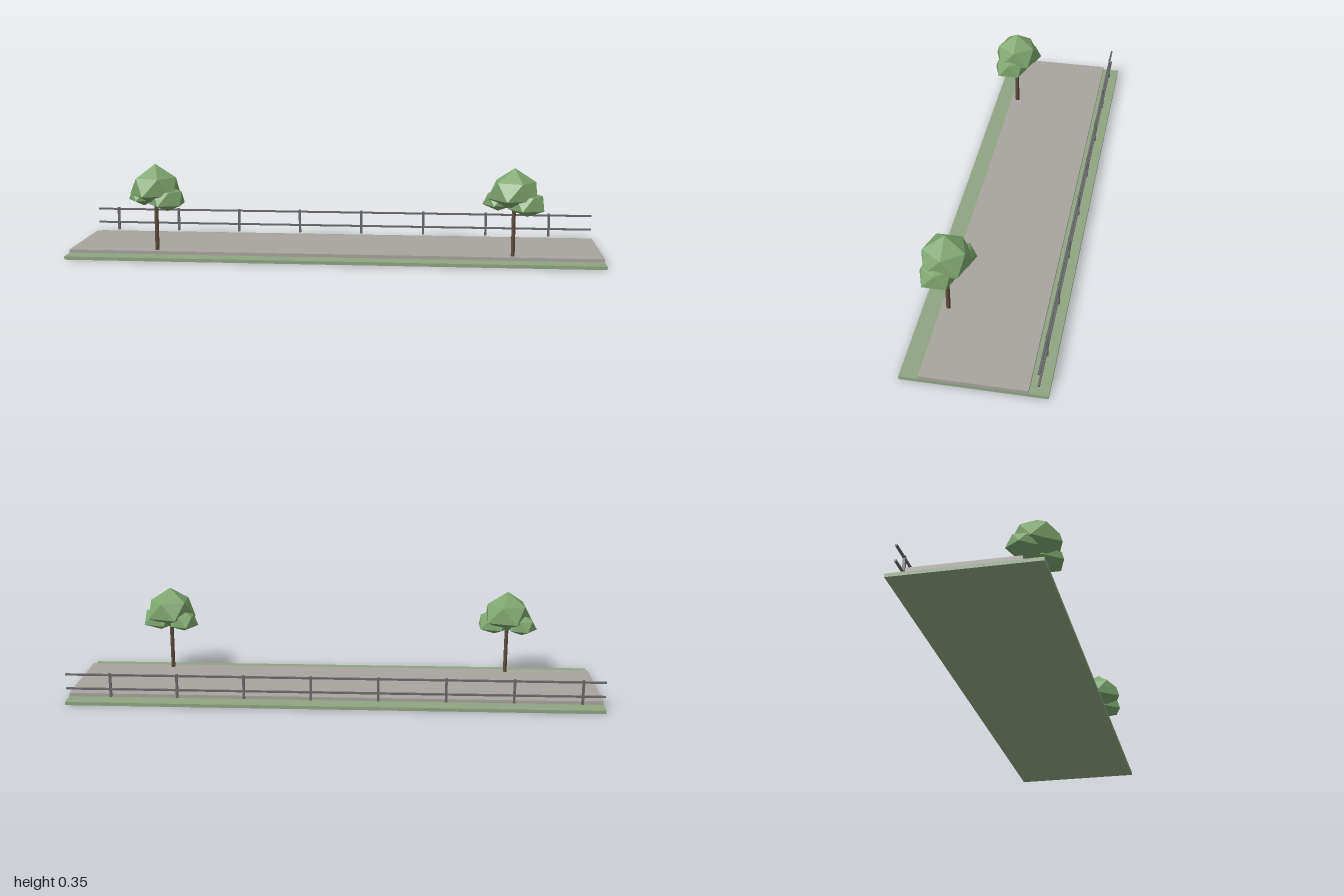
import * as THREE from 'three';
import { ConvexGeometry } from 'three/addons/geometries/ConvexGeometry.js';

const mat = (color) => new THREE.MeshStandardMaterial({ color, flatShading: true });

function add(parent, name, geometry, material, x, y, z) {
  const mesh = new THREE.Mesh(geometry, material);
  mesh.name = name;
  mesh.position.set(x, y, z);
  parent.add(mesh);
  return mesh;
}

// Faceted leaf clump: top point, two staggered rings of five, bottom point.
// Its origin is the top point; drops are the depths of the rings and bottom.
function clumpGeometry(upperRadius, lowerRadius, drops) {
  const points = [new THREE.Vector3(0, 0, 0), new THREE.Vector3(0, -drops[2], 0)];
  for (let i = 0; i < 5; i++) {
    const a = (i * Math.PI * 2) / 5;
    const b = a + Math.PI / 5;
    points.push(new THREE.Vector3(Math.cos(a) * upperRadius, -drops[0], Math.sin(a) * upperRadius));
    points.push(new THREE.Vector3(Math.cos(b) * lowerRadius, -drops[1], Math.sin(b) * lowerRadius));
  }
  return new ConvexGeometry(points);
}

function createTree(bark, leaves) {
  const tree = new THREE.Group();
  tree.name = 'tree';
  add(tree, 'trunk', new THREE.CylinderGeometry(0.008, 0.008, 0.175, 6), bark, 0, 0.1125, 0);
  add(tree, 'mainFoliage', clumpGeometry(0.078, 0.098, [0.05, 0.113, 0.16]), leaves, 0, 0.353, 0);
  add(tree, 'frontFoliage', clumpGeometry(0.055, 0.071, [0.018, 0.067, 0.095]), leaves, 0.047, 0.272, 0.02);
  add(tree, 'backFoliage', clumpGeometry(0.045, 0.058, [0.02, 0.058, 0.082]), leaves, -0.056, 0.27, -0.037);
  return tree;
}

export function createModel() {
  const model = new THREE.Group();
  model.name = 'promenade';
  const grass = mat(0x8fa583);
  const paving = mat(0xa8a49f);
  const metal = mat(0x6a6a6c);
  const bark = mat(0x5e4c3c);
  const leaves = mat(0x7da56d);

  // Ground strip with the raised path on it
  add(model, 'grassBase', new THREE.BoxGeometry(2, 0.0125, 0.5), grass, 0, 0.00625, 0);
  add(model, 'path', new THREE.BoxGeometry(2, 0.0125, 0.368), paving, 0, 0.01875, 0);

  // Railing along the back edge
  const railing = new THREE.Group();
  railing.name = 'railing';
  model.add(railing);
  const postGeometry = new THREE.BoxGeometry(0.009, 0.092, 0.009);
  for (let i = 0; i < 8; i++) {
    add(railing, 'post', postGeometry, metal, -0.917 + i * 0.25, 0.071, -0.217);
  }
  const railGeometry = new THREE.BoxGeometry(2, 0.007, 0.007);
  for (const y of [0.055, 0.11]) add(railing, 'rail', railGeometry, metal, 0, y, -0.217);

  // Two matching trees near the front edge
  for (const x of [-0.667, 0.667]) {
    const tree = createTree(bark, leaves);
    tree.position.set(x, 0, 0.158);
    model.add(tree);
  }
  return model;
}
